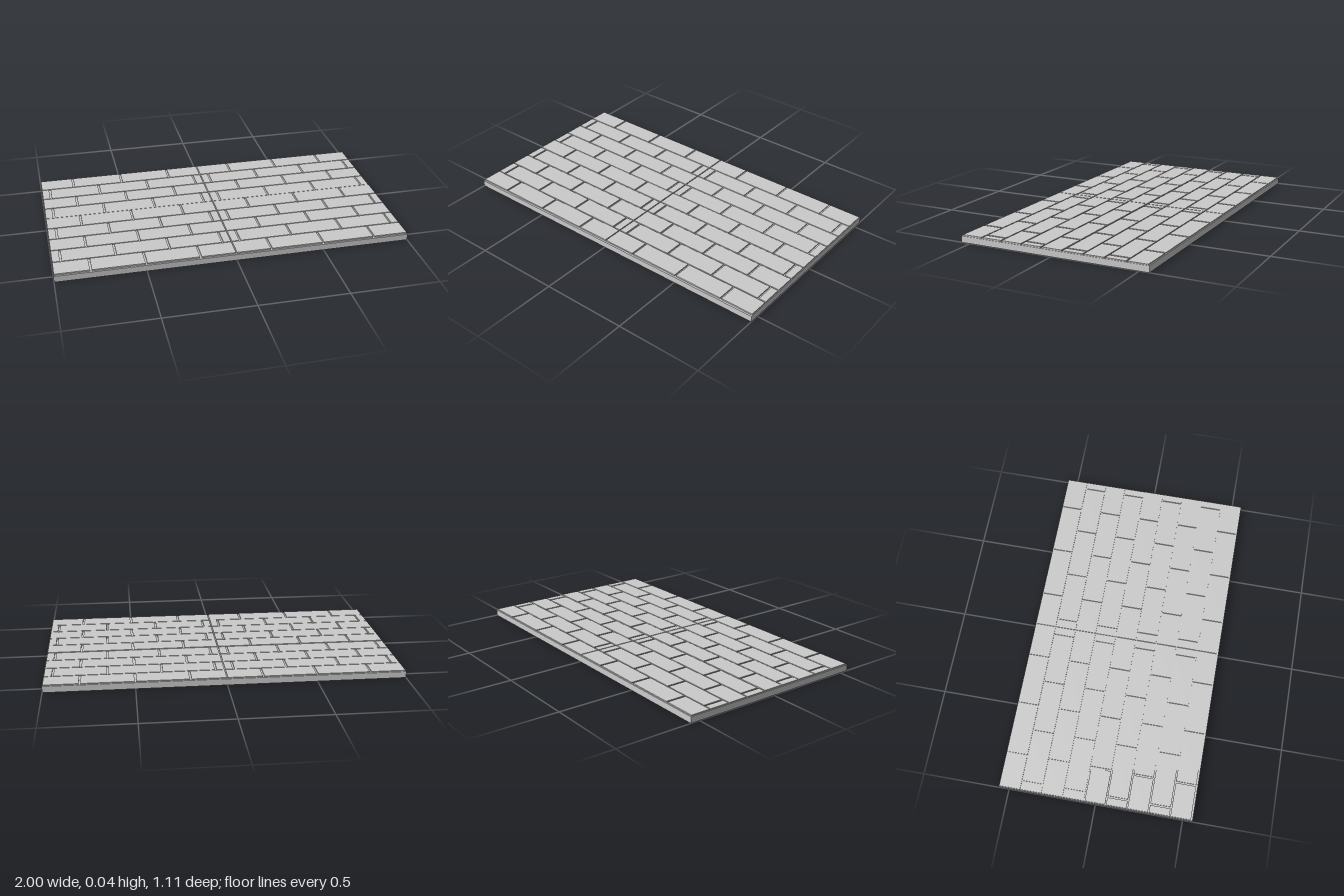
import * as THREE from 'three';

export function createModel() {
  const group = new THREE.Group();
  group.name = 'pavedSlab';
  const material = new THREE.MeshStandardMaterial({ color: 0xcccccc, flatShading: true });

  function box(name, x0, x1, y0, y1, z0, z1) {
    const mesh = new THREE.Mesh(new THREE.BoxGeometry(x1 - x0, y1 - y0, z1 - z0), material);
    mesh.position.set((x0 + x1) / 2, (y0 + y1) / 2, (z0 + z1) / 2);
    mesh.name = name;
    group.add(mesh);
  }

  const baseTop = 0.036, halfDepth = 0.555;
  const rows = 9, pitch = 0.1222, rowDepth = 0.116, firstZ = -0.549;
  const gap = 0.01, edge = 0.003;

  // Solid base under the paving
  box('base', -1, 1, 0, baseTop, -halfDepth, halfDepth);

  // Running-bond paving: the layout repeats on both halves, with a seam at x = 0
  const evenJoints = [0.2, 0.5, 0.8];
  const oddJoints = [0.05, 0.35, 0.65, 0.95];
  for (const start of [-1, 0]) {
    for (let row = 0; row < rows; row++) {
      const joints = row % 2 ? oddJoints : evenJoints;
      const stops = [0, ...joints, 1];
      const z = firstZ + row * pitch;
      const top = row < 4 ? 0.042 : 0.044;
      for (let i = 0; i < stops.length - 1; i++) {
        const left = i === 0 ? edge : gap / 2;
        const right = i === stops.length - 2 ? edge : gap / 2;
        box('paver', start + stops[i] + left, start + stops[i + 1] - right, baseTop - 0.004, top, z, z + rowDepth);
      }
    }
  }
  return group;
}
